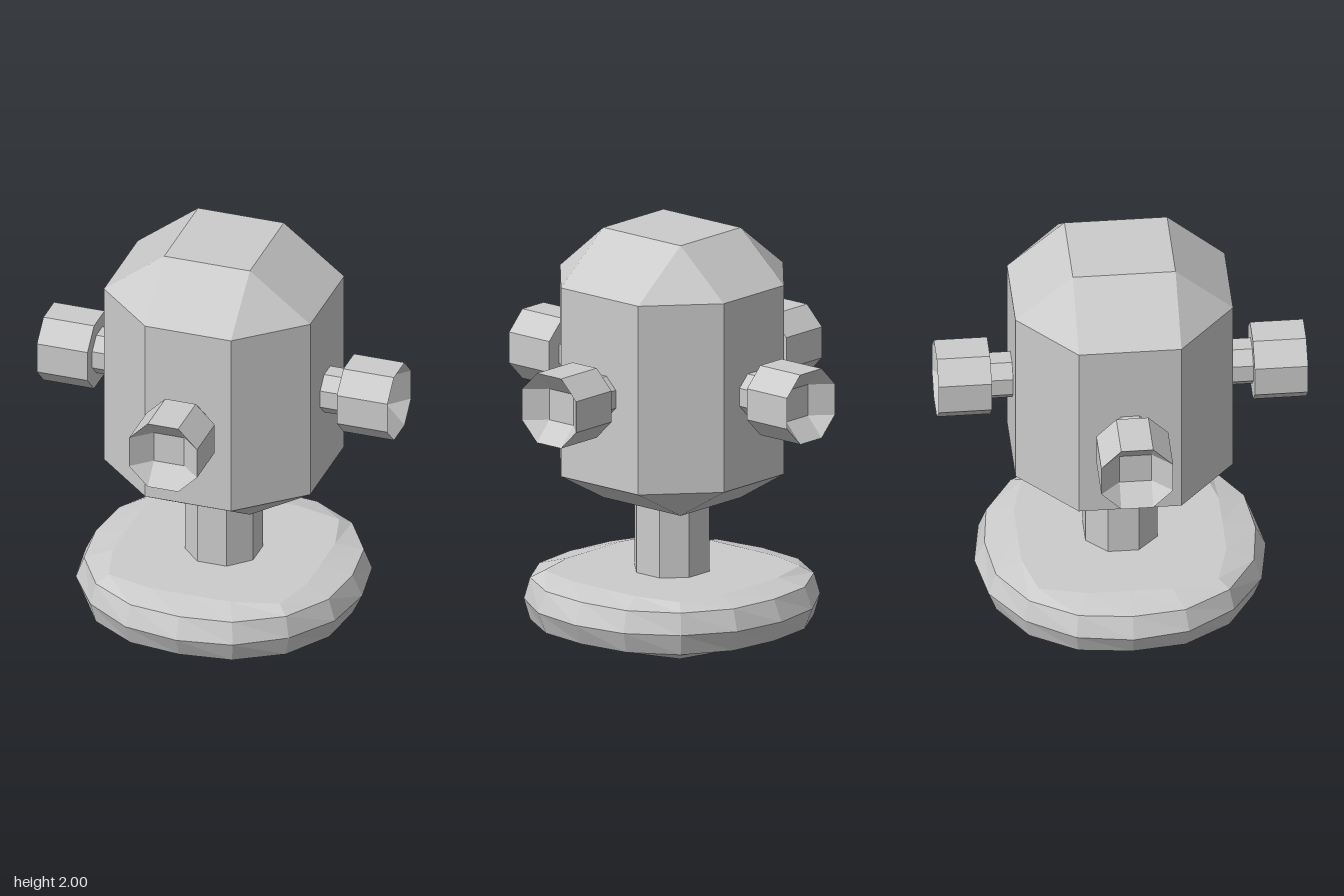
import * as THREE from 'three';

const material = new THREE.MeshStandardMaterial({ color: 0xcccccc, flatShading: true });

// Skin a stack of [height, outline] rings along y and close both ends.
function loft(rings) {
  const pos = [];
  const levels = rings.map(([y, outline]) => outline.map(([x, z]) => new THREE.Vector3(x, y, z)));
  const tri = (a, b, c) => {
    const area = b.clone().sub(a).cross(c.clone().sub(a)).length();
    if (area > 1e-7) for (const p of [a, b, c]) pos.push(p.x, p.y, p.z);
  };
  const n = levels[0].length;
  for (let i = 0; i < levels.length - 1; i++) {
    const lo = levels[i], hi = levels[i + 1];
    for (let j = 0; j < n; j++) {
      const k = (j + 1) % n;
      tri(lo[j], hi[j], hi[k]);
      tri(lo[j], hi[k], lo[k]);
    }
  }
  const first = levels[0], last = levels[levels.length - 1];
  for (let j = 1; j < n - 1; j++) {
    tri(first[0], first[j], first[j + 1]);
    tri(last[0], last[j + 1], last[j]);
  }
  const g = new THREE.BufferGeometry();
  g.setAttribute('position', new THREE.Float32BufferAttribute(pos, 3));
  g.computeVertexNormals();
  return g;
}

// Eight-cornered outline; with w = cx and d = cz it collapses to a rectangle.
const octagon = (w, d, cx, cz) => [
  [w, cz], [cx, d], [-cx, d], [-w, cz], [-w, -cz], [-cx, -d], [cx, -d], [w, -cz],
];

// Sixteen-cornered outline with radii for the axis, in-between and diagonal corners.
const roundedOutline = (axis, mid, diagonal) =>
  Array.from({ length: 16 }, (_, i) => {
    const r = [axis, mid, diagonal, mid][i % 4];
    const a = (i * Math.PI) / 8;
    return [r * Math.cos(a), r * Math.sin(a)];
  });

function part(name, geometry) {
  const mesh = new THREE.Mesh(geometry, material);
  mesh.name = name;
  return mesh;
}

export function createModel() {
  const model = new THREE.Group();
  model.name = 'hydrant';

  // Rounded foot with a nearly square flat top and bottom
  const flat = roundedOutline(0.5, 0.54, 0.62);
  const shoulder = roundedOutline(0.66, 0.68, 0.69);
  model.add(part('base', loft([
    [0, flat], [0.04, shoulder], [0.145, roundedOutline(0.71, 0.72, 0.72)],
    [0.25, shoulder], [0.285, flat],
  ])));

  // Stem between foot and body
  const stem = octagon(0.175, 0.175, 0.075, 0.075);
  model.add(part('stem', loft([[0.27, stem], [0.66, stem]])));

  // Faceted body, tapering to a rectangle at both ends
  const wall = octagon(0.53, 0.53, 0.22, 0.25);
  const end = octagon(0.22, 0.25, 0.22, 0.25);
  model.add(part('body', loft([[0.64, end], [0.81, wall], [1.76, wall], [2, end]])));

  // Four nozzles with funnel-shaped mouths
  const neck = octagon(0.105, 0.105, 0.045, 0.045);
  const barrel = octagon(0.175, 0.175, 0.078, 0.078);
  const throat = octagon(0.078, 0.078, 0.078, 0.078);
  const neckGeometry = loft([[0.5, neck], [0.66, neck]]).rotateX(Math.PI / 2);
  const barrelGeometry = loft([[0.64, barrel], [0.9, barrel], [0.81, throat]]).rotateX(Math.PI / 2);
  ['front', 'left', 'back', 'right'].forEach((side, i) => {
    const nozzle = new THREE.Group();
    nozzle.name = side + 'Nozzle';
    nozzle.add(part('neck', neckGeometry), part('barrel', barrelGeometry));
    nozzle.position.y = 1.265;
    nozzle.rotation.y = (i * Math.PI) / 2;
    model.add(nozzle);
  });

  return model;
}
